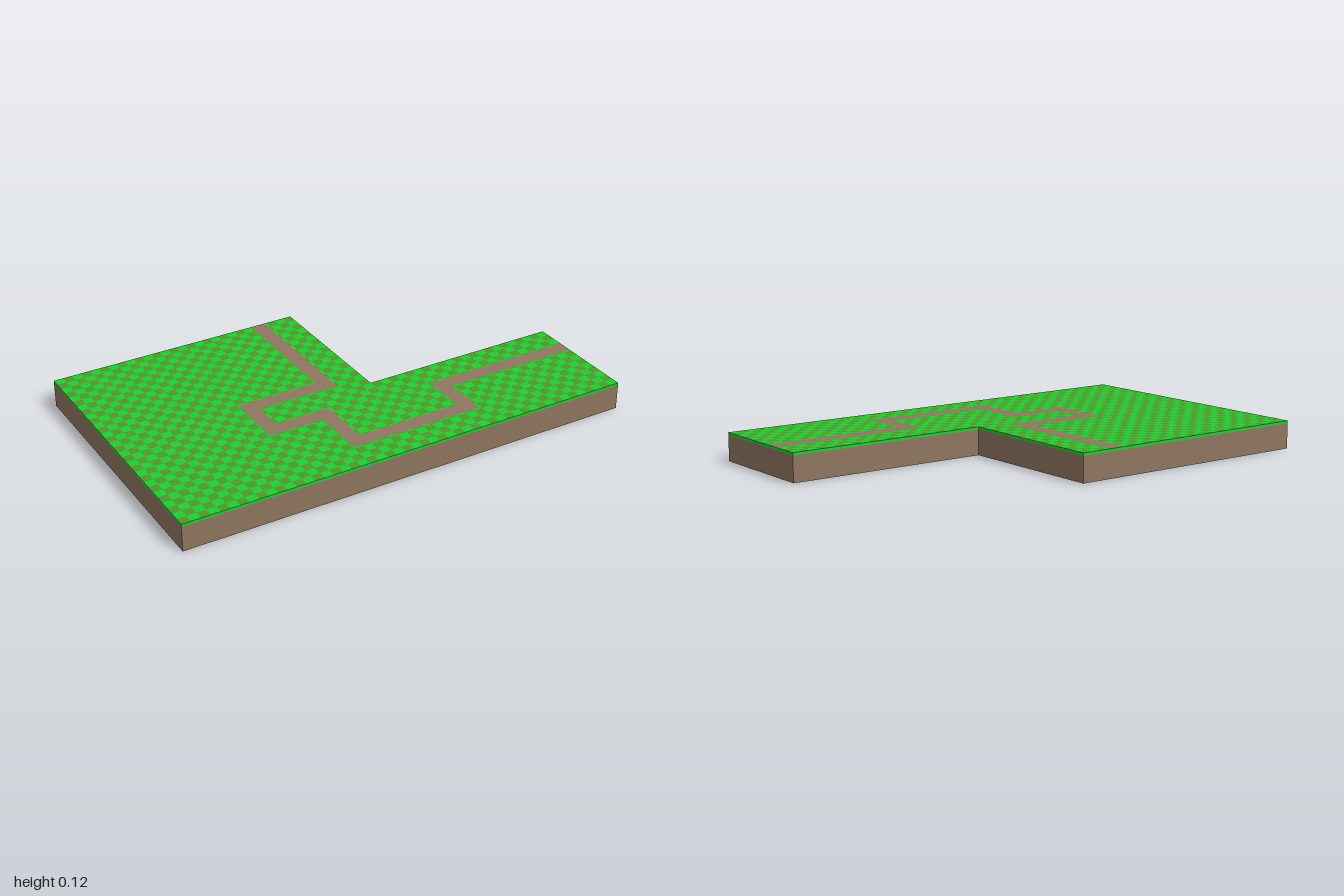
import * as THREE from 'three';

const TOP = 0.12, TURF = 0.108, CELL = 0.04, HALF_PATH = 0.032;

// Outline of the L-shaped slab and centre line of the path, as [x, z]
const OUTLINE = [[-1, -0.6], [0.12, -0.6], [0.12, 0.08], [1, 0.08], [1, 0.6], [-1, 0.6]];
const PATH = [[-0.045, -0.6], [-0.045, 0], [-0.405, 0], [-0.405, 0.2], [-0.165, 0.2],
  [-0.165, 0.44], [0.36, 0.44], [0.36, 0.24], [1, 0.24]];

// Mesh made of four-cornered faces, each given as four [x, y, z] corners
function quadMesh(name, quads, color) {
  const geometry = new THREE.BufferGeometry();
  const points = quads.flatMap(([a, b, c, d]) => [...a, ...b, ...c, ...a, ...c, ...d]);
  geometry.setAttribute('position', new THREE.Float32BufferAttribute(points, 3));
  geometry.computeVertexNormals();
  const mesh = new THREE.Mesh(geometry,
    new THREE.MeshStandardMaterial({ color, side: THREE.DoubleSide }));
  mesh.name = name;
  return mesh;
}

// Upright faces that follow the outline between two heights
function wallQuads(y0, y1) {
  return OUTLINE.map(([ax, az], i) => {
    const [bx, bz] = OUTLINE[(i + 1) % OUTLINE.length];
    return [[ax, y0, az], [ax, y1, az], [bx, y1, bz], [bx, y0, bz]];
  });
}

// Sorted cutting lines along one axis: checker lines plus path edges
function cuts(axis, limit) {
  const lines = new Set();
  const add = v => { if (Math.abs(v) <= limit) lines.add(+v.toFixed(4)); };
  for (let i = 0; i <= Math.round(2 * limit / CELL); i++) add(-limit + i * CELL);
  for (const p of PATH) { add(p[axis] - HALF_PATH); add(p[axis] + HALF_PATH); }
  return [...lines].sort((a, b) => a - b);
}

// Whether a point lies on any straight stretch of the path
function onPath(x, z) {
  return PATH.slice(1).some(([bx, bz], i) => {
    const [ax, az] = PATH[i];
    return x > Math.min(ax, bx) - HALF_PATH && x < Math.max(ax, bx) + HALF_PATH
      && z > Math.min(az, bz) - HALF_PATH && z < Math.max(az, bz) + HALF_PATH;
  });
}

export function createModel() {
  const group = new THREE.Group();
  group.name = 'terrainTile';

  // Flat top, sorted into light grass, dark grass and path
  const light = [], dark = [], path = [];
  const xs = cuts(0, 1), zs = cuts(1, 0.6);
  for (let i = 0; i < xs.length - 1; i++) {
    for (let j = 0; j < zs.length - 1; j++) {
      const [x0, x1, z0, z1] = [xs[i], xs[i + 1], zs[j], zs[j + 1]];
      const x = (x0 + x1) / 2, z = (z0 + z1) / 2;
      if (x > 0.12 && z < 0.08) continue;
      const odd = (Math.floor((x + 1) / CELL) + Math.floor((z + 0.6) / CELL)) % 2;
      const target = onPath(x, z) ? path : odd ? dark : light;
      target.push([[x0, TOP, z0], [x0, TOP, z1], [x1, TOP, z1], [x1, TOP, z0]]);
    }
  }
  group.add(quadMesh('lightGrass', light, 0x22cc33));
  group.add(quadMesh('darkGrass', dark, 0x4a9a2a));
  group.add(quadMesh('path', path, 0x8f7660));

  // Thin earth walls with a turf band along the upper edge, open underneath
  group.add(quadMesh('earthWalls', wallQuads(0, TURF), 0x8f7660));
  group.add(quadMesh('turfEdge', wallQuads(TURF, TOP), 0x22cc33));
  return group;
}
